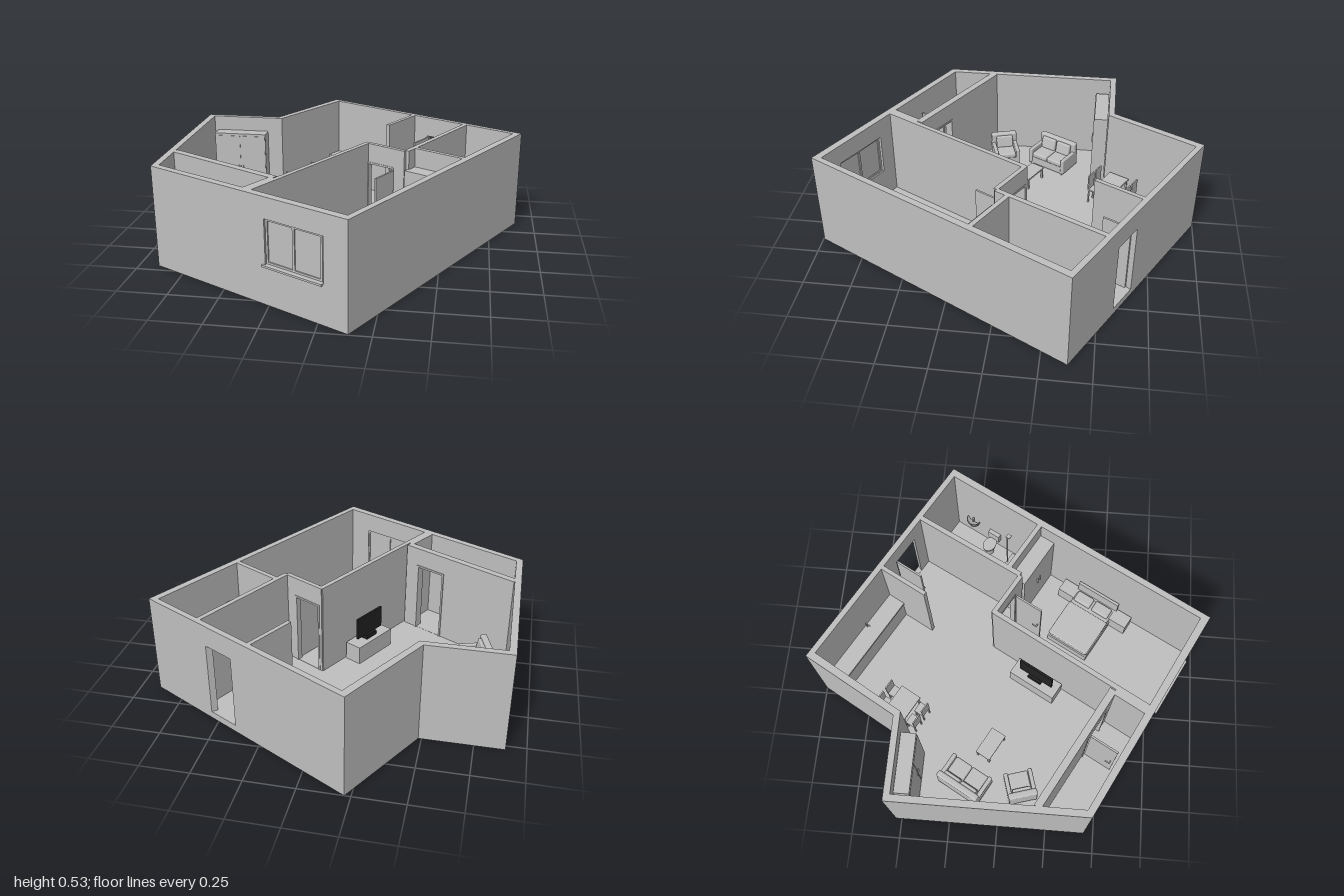
import * as THREE from 'three';
import { RoundedBoxGeometry } from 'three/addons/geometries/RoundedBoxGeometry.js';

const plaster = new THREE.MeshStandardMaterial({ color: 0xbfbfbf, side: THREE.DoubleSide });
plaster.name = 'plaster grey';
const screenBlack = new THREE.MeshStandardMaterial({ color: 0x222222 });
screenBlack.name = 'screen black';

const H = 0.53, FLOOR = 0.035, TURN = -0.505;
const lerp = (a, b, t) => [a[0] + (b[0] - a[0]) * t, a[1] + (b[1] - a[1]) * t];

// Upright prism on a four-cornered plan; open underneath when it stands on the ground
function prism(quad, y0, y1) {
  const area = quad.reduce((s, p, i) => {
    const q = quad[(i + 1) % 4];
    return s + p[0] * q[1] - q[0] * p[1];
  }, 0);
  const pts = area > 0 ? quad : [...quad].reverse();
  const pos = [];
  const put = (...list) => list.forEach(([p, y]) => pos.push(p[0], y, p[1]));
  pts.forEach((a, i) => {
    const b = pts[(i + 1) % 4];
    put([a, y0], [a, y1], [b, y1], [a, y0], [b, y1], [b, y0]);
  });
  const [a, b, c, d] = pts;
  put([a, y1], [c, y1], [b, y1], [a, y1], [d, y1], [c, y1]);
  if (y0 > 0) put([a, y0], [b, y0], [c, y0], [a, y0], [c, y0], [d, y0]);
  const g = new THREE.BufferGeometry();
  g.setAttribute('position', new THREE.Float32BufferAttribute(pos, 3));
  g.computeVertexNormals();
  return g;
}

function add(parent, name, geo, x = 0, y = 0, z = 0, mat = plaster) {
  const m = new THREE.Mesh(geo, mat);
  m.name = name;
  m.position.set(x, y, z);
  parent.add(m);
  return m;
}
// Box given by its size and the centre of its underside
const box = (parent, name, w, h, d, x = 0, y = 0, z = 0, mat) =>
  add(parent, name, new THREE.BoxGeometry(w, h, d), x, y + h / 2, z, mat);
const soft = (parent, name, w, h, d, x, y, z) =>
  add(parent, name, new RoundedBoxGeometry(w, h, d, 3, Math.min(w, h, d) * 0.3), x, y + h / 2, z);

function place(parent, name, x, z, angle = TURN) {
  const g = new THREE.Group();
  g.name = name;
  g.position.set(x, FLOOR, z);
  g.rotation.y = angle;
  parent.add(g);
  return g;
}

// Wall between two edge lines, with an optional opening [t0, t1, y0, y1]
function wall(parent, name, a, b, a2, b2, hole) {
  const piece = (t0, t1, y0, y1) => add(parent, name, prism(
    [lerp(a, b, t0), lerp(a, b, t1), lerp(a2, b2, t1), lerp(a2, b2, t0)], y0, y1));
  if (!hole) return piece(0, 1, 0, H);
  const [t0, t1, y0, y1] = hole;
  piece(0, t0, 0, H);
  piece(t1, 1, 0, H);
  piece(t0, t1, 0, y0);
  piece(t0, t1, y1, H);
}
function partition(parent, name, a, b, thick, hole) {
  const dx = b[0] - a[0], dz = b[1] - a[1], k = thick / 2 / Math.hypot(dx, dz);
  const off = (p, s) => [p[0] - dz * k * s, p[1] + dx * k * s];
  wall(parent, name, off(a, 1), off(b, 1), off(a, -1), off(b, -1), hole);
  if (!hole) return;
  // Casing around the doorway
  const f = k * 1.25, out = (p, s) => [p[0] - dz * f * s, p[1] + dx * f * s];
  const trim = (t0, t1, y0, y1) => {
    const p = lerp(a, b, t0), q = lerp(a, b, t1);
    add(parent, 'doorCasing', prism([out(p, 1), out(q, 1), out(q, -1), out(p, -1)], y0, y1));
  };
  const e = 0.01 / Math.hypot(dx, dz);
  trim(hole[0] - e, hole[0], FLOOR, hole[3] + 0.01);
  trim(hole[1], hole[1] + e, FLOOR, hole[3] + 0.01);
  trim(hole[0], hole[1], hole[3], hole[3] + 0.01);
}

// Open door leaf, hinged at the given point
function door(parent, x, z) {
  const g = place(parent, 'door', x, z);
  box(g, 'doorLeaf', 0.01, 0.375, 0.155, 0, 0.005, 0.078);
  box(g, 'doorSpindle', 0.044, 0.006, 0.006, 0, 0.18, 0.14);
  for (const s of [-1, 1]) box(g, 'doorHandle', 0.005, 0.007, 0.03, s * 0.02, 0.18, 0.13);
}

// Upholstered seat facing +x
function couch(parent, name, x, z, angle, depth, width, count) {
  const g = place(parent, name, x, z, angle);
  box(g, 'seatBase', depth * 0.95, 0.045, width * 0.96, 0, 0.012, 0);
  soft(g, 'backRest', 0.035, 0.15, width, -depth / 2 + 0.018, 0.012, 0);
  const inner = width - 0.044, w = inner / count;
  for (const s of [-1, 1]) soft(g, 'armRest', depth, 0.095, 0.022, 0, 0.012, s * (width / 2 - 0.011));
  for (let i = 0; i < count; i++) {
    const cz = -inner / 2 + w * (i + 0.5);
    soft(g, 'seatCushion', depth - 0.04, 0.03, w * 0.98, 0.018, 0.055, cz);
    soft(g, 'backCushion', 0.028, 0.07, w * 0.92, -depth / 2 + 0.045, 0.08, cz).rotation.z = 0.2;
  }
  for (const sx of [-1, 1]) for (const sz of [-1, 1])
    box(g, 'foot', 0.012, 0.012, 0.012, sx * depth * 0.4, 0, sz * width * 0.42);
}

function legs(g, name, h, t, w, d) {
  for (const sx of [-1, 1]) for (const sz of [-1, 1])
    box(g, name, t, h, t, sx * (w - t) / 2, 0, sz * (d - t) / 2);
}

export function createModel() {
  const root = new THREE.Group();
  root.name = 'apartment';

  // Outer shell and floor
  const outer = [[-0.22, -1], [0.9, -0.38], [0.145, 0.995], [-0.9, 0.45], [-0.9, -0.53], [-0.485, -0.53]];
  const inner = [[-0.2, -0.955], [0.852, -0.372], [0.137, 0.945], [-0.865, 0.428], [-0.865, -0.497], [-0.464, -0.497]];
  const holes = { 0: [0.546, 0.68, 0.037, 0.42], 2: [0.11, 0.39, 0.2, 0.425] };
  outer.forEach((p, i) => {
    const j = (i + 1) % 6;
    wall(root, 'outerWall', p, outer[j], inner[i], inner[j], holes[i]);
  });
  const plan = new THREE.Shape(inner.map(([x, z]) => new THREE.Vector2(x, -z)));
  add(root, 'floor', new THREE.ExtrudeGeometry(plan, { depth: 0.008, bevelEnabled: false })
    .rotateX(-Math.PI / 2), 0, FLOOR - 0.008, 0);

  // Inner walls
  partition(root, 'storageWall', [-0.87, 0.193], [-0.272, 0.524], 0.038, [0.643, 0.875, 0.036, 0.42]);
  partition(root, 'storageEndWall', [-0.272, 0.535], [-0.365, 0.7], 0.05);
  partition(root, 'bedroomLongWall', [0.093, -0.095], [-0.345, 0.695], 0.025);
  partition(root, 'bedroomDoorWall', [0.083, -0.095], [0.3, 0.027], 0.024, [0.1, 0.7, 0.036, 0.42]);
  partition(root, 'bathroomSideWall', [0.594, -0.525], [0.306, 0.025], 0.026);
  partition(root, 'bathroomEndWall', [0.335, -0.042], [0.625, 0.12], 0.025);
  partition(root, 'kitchenStubWall', [0.292, -0.69], [0.161, -0.45], 0.022);
  door(root, 0.383, -0.635);
  door(root, 0.235, 0.012);
  door(root, -0.483, 0.435);

  // Window in the front wall
  const win = place(root, 'window', -0.115, 0.835, Math.atan2(-0.545, 1.045));
  win.position.y = 0.2;
  box(win, 'windowPane', 0.32, 0.22, 0.004, 0, 0, 0);
  box(win, 'windowSill', 0.34, 0.01, 0.05, 0, -0.008, 0.008);
  for (const y of [0, 0.212]) box(win, 'windowRail', 0.32, 0.012, 0.016, 0, y, 0);
  for (const x of [-0.154, 0, 0.154]) box(win, 'windowStile', 0.012, 0.22, 0.016, x, 0, 0);

  // Kitchen counter with tap
  const kitchen = place(root, 'kitchenCounter', 0.021, -0.78);
  box(kitchen, 'cabinets', 0.55, 0.155, 0.092, 0, 0, -0.004);
  box(kitchen, 'worktop', 0.56, 0.015, 0.1, 0, 0.155, 0);
  box(kitchen, 'tapStem', 0.006, 0.045, 0.006, 0.05, 0.17, -0.035);
  box(kitchen, 'tapSpout', 0.006, 0.006, 0.03, 0.05, 0.21, -0.023);

  // Tall cabinets
  const tall = place(root, 'tallCabinet', -0.696, -0.457, 0);
  box(tall, 'cabinetBody', 0.298, 0.415, 0.076);
  for (const s of [-1, 1]) {
    box(tall, 'cabinetDoor', 0.145, 0.39, 0.004, s * 0.074, 0.012, 0.039);
    box(tall, 'cabinetHandle', 0.005, 0.045, 0.008, s * 0.012, 0.18, 0.043);
  }
  const wardrobe = place(root, 'wardrobe', 0.446, 0.08);
  box(wardrobe, 'wardrobeBody', 0.29, 0.395, 0.09);
  for (const s of [-1, 1]) box(wardrobe, 'wardrobeHandle', 0.005, 0.045, 0.008, s * 0.012, 0.18, 0.048);

  // Dining table with four chairs
  const dining = place(root, 'diningSet', -0.325, -0.545);
  box(dining, 'tableTop', 0.15, 0.01, 0.12, 0, 0.14, 0);
  legs(dining, 'tableLeg', 0.14, 0.01, 0.14, 0.11);
  for (const s of [-1, 1]) for (const x of [-0.038, 0.038]) {
    const chair = new THREE.Group();
    chair.name = 'chair';
    chair.position.set(x, 0, s * 0.088);
    if (s < 0) chair.rotation.y = Math.PI;
    box(chair, 'chairSeat', 0.058, 0.008, 0.058, 0, 0.08, 0);
    box(chair, 'chairBack', 0.058, 0.09, 0.007, 0, 0.088, 0.028);
    legs(chair, 'chairLeg', 0.08, 0.007, 0.056, 0.056);
    dining.add(chair);
  }

  // Living room
  couch(root, 'sofa', -0.685, -0.185, TURN, 0.155, 0.245, 2);
  couch(root, 'armchair', -0.7, 0.106, 0.29, 0.15, 0.15, 1);
  const coffee = place(root, 'coffeeTable', -0.489, -0.067);
  box(coffee, 'coffeeTop', 0.155, 0.01, 0.085, 0, 0.062, 0);
  legs(coffee, 'coffeeLeg', 0.062, 0.01, 0.15, 0.08);
  const media = place(root, 'mediaStand', -0.116, 0.145);
  box(media, 'standBody', 0.095, 0.1, 0.27);
  box(media, 'screenFoot', 0.04, 0.025, 0.08, 0, 0.1, 0, screenBlack);
  box(media, 'screen', 0.012, 0.12, 0.2, 0, 0.122, 0, screenBlack);

  // Bed with headboard shelf
  const bed = place(root, 'bed', 0.235, 0.375);
  box(bed, 'bedFrame', 0.31, 0.05, 0.245);
  soft(bed, 'mattress', 0.3, 0.045, 0.235, 0, 0.045, 0);
  soft(bed, 'blanket', 0.22, 0.02, 0.243, -0.042, 0.075, 0);
  for (const s of [-1, 1]) soft(bed, 'pillow', 0.06, 0.03, 0.1, 0.115, 0.085, s * 0.057);
  const head = place(root, 'headboardShelf', 0.354, 0.444);
  box(head, 'shelfBody', 0.075, 0.085, 0.43);
  box(head, 'headboard', 0.015, 0.16, 0.25, 0.03, 0, 0);

  // Bathroom
  const toilet = place(root, 'toilet', 0.674, -0.175);
  add(toilet, 'toiletPedestal', new THREE.CylinderGeometry(0.03, 0.022, 0.07, 24), 0, 0.035, 0);
  add(toilet, 'toiletSeat', new THREE.CylinderGeometry(0.036, 0.034, 0.016, 24), 0, 0.078, 0).scale.x = 1.3;
  box(toilet, 'toiletTank', 0.03, 0.06, 0.07, 0.055, 0.075, 0);
  const sink = place(root, 'sink', 0.793, -0.273);
  const bowl = new THREE.LatheGeometry([[0, 0.1], [0.03, 0.11], [0.042, 0.15], [0.036, 0.15], [0.025, 0.125], [0, 0.12]]
    .map(([r, y]) => new THREE.Vector2(r, y)), 20, Math.PI, Math.PI);
  add(sink, 'sinkBowl', bowl);
  box(sink, 'sinkTap', 0.012, 0.03, 0.008, -0.008, 0.14, 0);
  const shower = place(root, 'shower', 0.58, -0.02);
  box(shower, 'showerTray', 0.12, 0.014, 0.12);
  add(shower, 'showerDrain', new THREE.CylinderGeometry(0.008, 0.008, 0.004, 16), 0, 0.016, 0);
  box(shower, 'showerPipe', 0.006, 0.32, 0.006, 0, 0.014, -0.054);
  box(shower, 'showerHead', 0.024, 0.006, 0.024, 0, 0.33, -0.045);
  return root;
}
